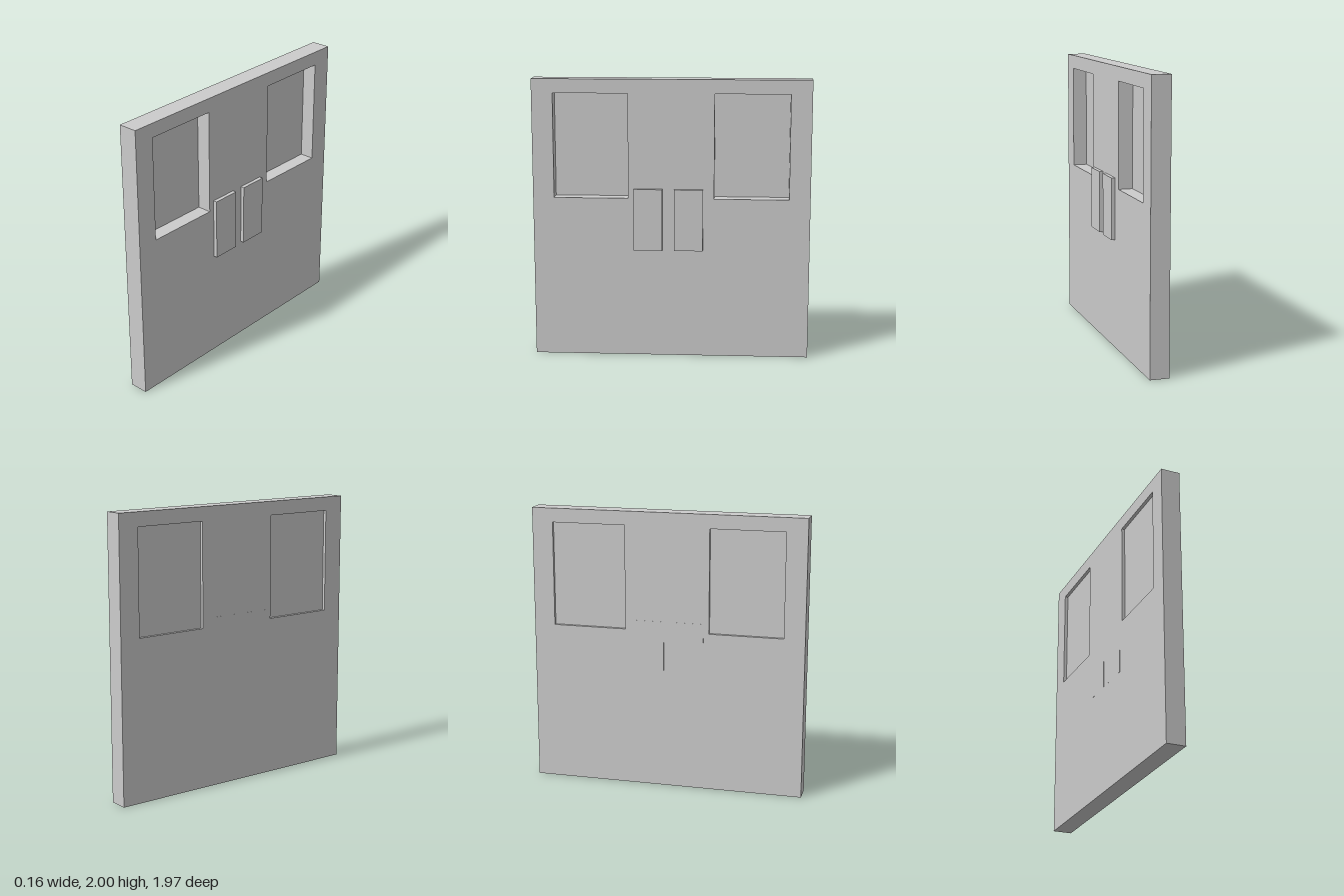
import * as THREE from 'three';

const FRONT = 0.055, BACK = -0.081;
const HALF_WIDTH = 0.985, HEIGHT = 2;
const WINDOW = { z0: 0.305, z1: 0.835, y0: 1.155, y1: 1.9 };

const material = new THREE.MeshStandardMaterial({ color: 0xcccccc, flatShading: true });

// Rectangle path in the (z, y) plane of the door
function rectangle(path, z0, z1, y0, y1) {
  path.moveTo(z0, y0);
  path.lineTo(z1, y0);
  path.lineTo(z1, y1);
  path.lineTo(z0, y1);
  path.closePath();
  return path;
}

// Box given by its limits on each axis
function boxBetween(name, x0, x1, y0, y1, z0, z1) {
  const mesh = new THREE.Mesh(new THREE.BoxGeometry(x1 - x0, y1 - y0, z1 - z0), material);
  mesh.position.set((x0 + x1) / 2, (y0 + y1) / 2, (z0 + z1) / 2);
  mesh.name = name;
  return mesh;
}

// One door leaf with its window opening and thin pane; side is +1 or -1 along z
function doorLeaf(side) {
  const leaf = new THREE.Group();
  leaf.name = side > 0 ? 'frontDoorLeaf' : 'backDoorLeaf';
  const span = (a, b) => (side > 0 ? [a, b] : [-b, -a]);
  const [w0, w1] = span(WINDOW.z0, WINDOW.z1);

  const outline = rectangle(new THREE.Shape(), ...span(0, HALF_WIDTH), 0, HEIGHT);
  outline.holes.push(rectangle(new THREE.Path(), w0, w1, WINDOW.y0, WINDOW.y1));
  const geometry = new THREE.ExtrudeGeometry(outline, { depth: FRONT - BACK, bevelEnabled: false });
  geometry.rotateY(-Math.PI / 2);
  geometry.translate(FRONT, 0, 0);
  const panel = new THREE.Mesh(geometry, material);
  panel.name = 'doorPanel';

  // Pane set close to the -x face
  const pane = boxBetween('windowPane', -0.058, -0.047, WINDOW.y0, WINDOW.y1, w0, w1);
  leaf.add(panel, pane);
  return leaf;
}

export function createModel() {
  const model = new THREE.Group();
  model.name = 'doubleDoor';
  for (const side of [1, -1]) model.add(doorLeaf(side));

  // Raised push plates beside the seam, running through to the other face
  for (const [z0, z1] of [[0.062, 0.265], [-0.227, -0.022]]) {
    model.add(boxBetween('pushPlate', -0.082, 0.082, 0.782, 1.224, z0, z1));
  }
  return model;
}
